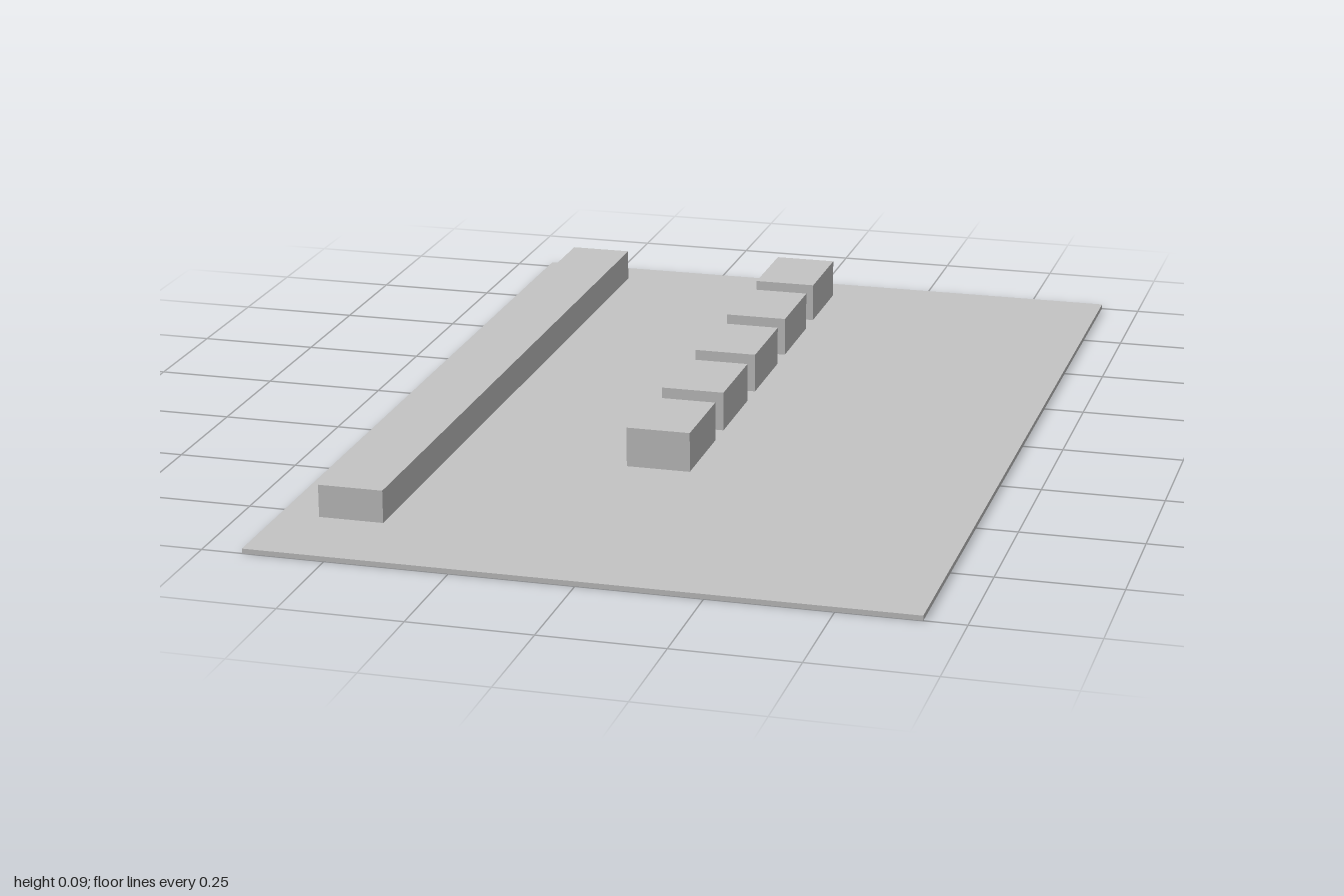
import * as THREE from 'three';

export function createModel() {
  const model = new THREE.Group();
  model.name = 'slabWithBlocks';

  const grey = new THREE.MeshStandardMaterial({ color: 0xc4c4c4 });
  grey.name = 'light grey';

  const slabTop = 0.01;

  // Box given by its size and the position of its bottom centre
  function addBox(name, width, height, depth, x, y, z) {
    const mesh = new THREE.Mesh(new THREE.BoxGeometry(width, height, depth), grey);
    mesh.name = name;
    mesh.position.set(x, y + height / 2, z);
    model.add(mesh);
  }

  // Thin ground slab
  addBox('groundSlab', 1.333, slabTop, 2, 0, 0, 0);

  // Long low bar near the right edge
  addBox('longBar', 0.133, 0.067, 1.715, -0.519, slabTop, -0.06);

  // Row of five equal blocks
  for (let i = 0; i < 5; i++) {
    addBox(`block${i + 1}`, 0.133, 0.083, 0.2, -0.019, slabTop, -0.809 + i * 0.2665);
  }

  return model;
}
